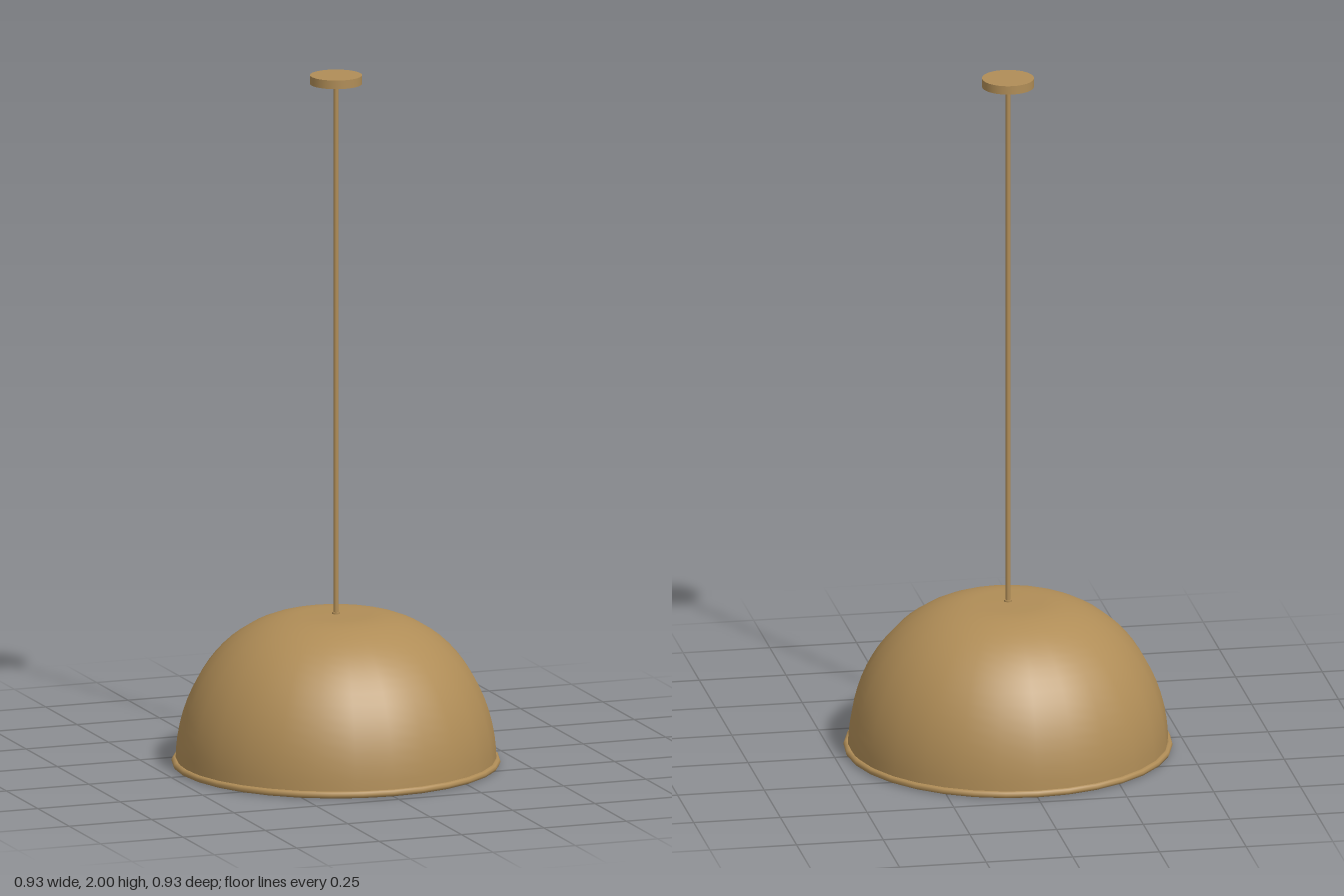
import * as THREE from 'three';

export function createModel() {
  const model = new THREE.Group();
  const brass = new THREE.MeshStandardMaterial({ color: 0xb08d57, side: THREE.DoubleSide });
  brass.name = 'brass';
  const glass = new THREE.MeshStandardMaterial({ color: 0xded5c4 });
  glass.name = 'warm white glass';

  const add = (name, geometry, material, y) => {
    const mesh = new THREE.Mesh(geometry, material);
    mesh.name = name;
    mesh.position.y = y;
    model.add(mesh);
    return mesh;
  };
  const rod = (radius, bottom, top, sides) =>
    new THREE.CylinderGeometry(radius, radius, top - bottom, sides).translate(0, (top + bottom) / 2, 0);

  // Dome shade: a quarter ellipse running into a flat crown
  const profile = [];
  const steps = 18;
  for (let i = 0; i <= steps; i++) {
    const a = (i / steps) * Math.PI / 2;
    profile.push(new THREE.Vector2(0.1 + 0.355 * Math.cos(a), 0.01 + 0.426 * Math.sin(a)));
  }
  profile.push(new THREE.Vector2(0, 0.437));
  add('shade', new THREE.LatheGeometry(profile, 26), brass, 0);

  // Rolled rim around the opening
  add('rim', new THREE.TorusGeometry(0.457, 0.01, 8, 32).rotateX(Math.PI / 2), brass, 0.01);

  // Ceiling canopy, hanging rod and the collar where it meets the shade
  add('canopy', rod(0.074, 1.975, 2, 32), brass, 0);
  add('hangingRod', rod(0.007, 0.29, 1.98, 12), brass, 0);
  add('collar', rod(0.012, 0.43, 0.442, 12), brass, 0);

  // Bulb and its socket inside the shade
  add('socket', rod(0.03, 0.22, 0.3, 16), brass, 0);
  add('bulb', new THREE.SphereGeometry(0.105, 12, 10), glass, 0.132);

  return model;
}
